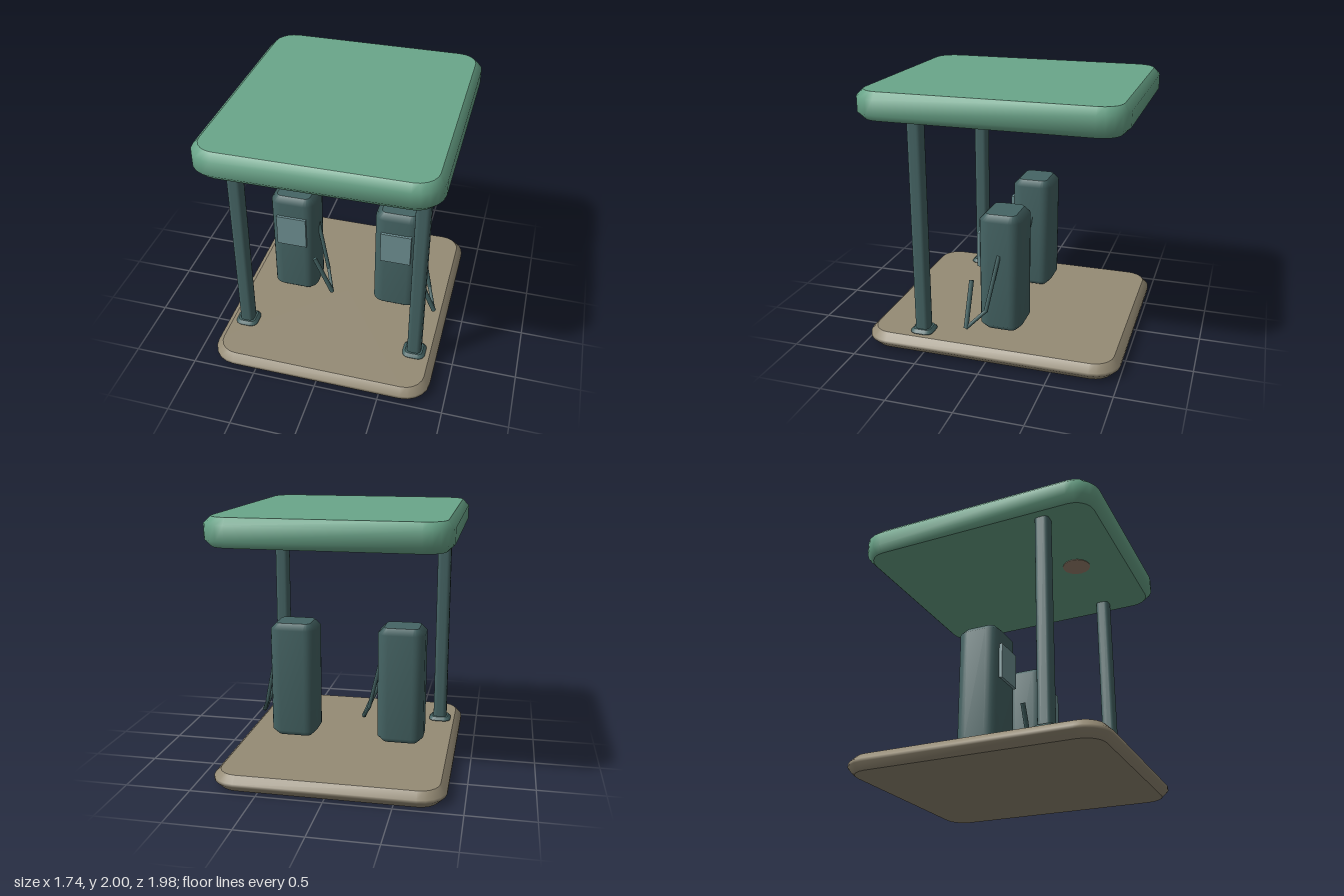
import * as THREE from 'three';

const paint = (name, color) => {
  const m = new THREE.MeshStandardMaterial({ color });
  m.name = name;
  return m;
};

// Outline of a rounded rectangle in the x/z plane, as [x, z] pairs
function outline(w, d, r, seg) {
  const pts = [];
  const signs = [[1, 1], [-1, 1], [-1, -1], [1, -1]];
  signs.forEach(([sx, sz], q) => {
    for (let i = 0; i <= seg; i++) {
      const a = (q + i / seg) * Math.PI / 2;
      pts.push([sx * (w / 2 - r) + r * Math.cos(a), sz * (d / 2 - r) + r * Math.sin(a)]);
    }
  });
  return pts;
}

// Rounded slab with chamfered rims: smooth walls, crisp flat caps
function slab(w, h, d, r, bevel, seg = 5) {
  const levels = [[0, bevel], [bevel, 0], [h - bevel, 0], [h, bevel]];
  const rings = levels.map(([, inset]) => outline(w - 2 * inset, d - 2 * inset, r - inset, seg));
  const n = rings[0].length;
  const pos = [], index = [];
  rings.forEach((ring, k) => ring.forEach(([x, z]) => pos.push(x, levels[k][0], z)));
  for (let k = 0; k < 3; k++) {
    for (let i = 0; i < n; i++) {
      const a = k * n + i, b = k * n + (i + 1) % n;
      index.push(a, a + n, b, b, a + n, b + n);
    }
  }
  // caps have their own vertices so their edges stay sharp
  for (const k of [0, 3]) {
    const c = pos.length / 3;
    pos.push(0, levels[k][0], 0);
    rings[k].forEach(([x, z]) => pos.push(x, levels[k][0], z));
    for (let i = 0; i < n; i++) {
      const a = c + 1 + i, b = c + 1 + (i + 1) % n;
      if (k) index.push(c, b, a);
      else index.push(c, a, b);
    }
  }
  const g = new THREE.BufferGeometry();
  g.setAttribute('position', new THREE.Float32BufferAttribute(pos, 3));
  g.setIndex(index);
  g.computeVertexNormals();
  return g;
}

// Round rod between two points
function rod(p, q, r) {
  const a = new THREE.Vector3(...p), b = new THREE.Vector3(...q);
  const dir = b.clone().sub(a);
  const g = new THREE.CylinderGeometry(r, r, dir.length(), 10);
  g.applyQuaternion(new THREE.Quaternion().setFromUnitVectors(
    new THREE.Vector3(0, 1, 0), dir.normalize()));
  const mid = a.add(b).multiplyScalar(0.5);
  return g.translate(mid.x, mid.y, mid.z);
}

export function createModel() {
  const model = new THREE.Group();
  model.name = 'fuelStation';

  const green = paint('canopyGreen', 0x6aa68a);
  const teal = paint('darkTeal', 0x456464);
  const glass = paint('screenBlue', 0x6f9194);
  const stone = paint('baseStone', 0x958b75);
  const lampTone = paint('lampBrown', 0x9f8872);

  const add = (parent, name, geometry, material, x = 0, y = 0, z = 0) => {
    const mesh = new THREE.Mesh(geometry, material);
    mesh.name = name;
    mesh.position.set(x, y, z);
    parent.add(mesh);
    return mesh;
  };

  // Platform and roof
  add(model, 'base', slab(1.74, 0.125, 1.98, 0.2, 0.05), stone);
  add(model, 'canopy', slab(1.74, 0.21, 1.97, 0.2, 0.05), green, 0, 1.79, 0);

  // Flat lamp under the roof, between the posts
  add(model, 'canopyLamp', new THREE.CylinderGeometry(0.11, 0.11, 0.006, 16), lampTone, 0, 1.788, 0.55);

  // Front posts with foot plates
  for (const x of [-0.7, 0.695]) {
    add(model, 'post', slab(0.11, 1.7, 0.11, 0.032, 0.002, 4), teal, x, 0.1, 0.545);
    add(model, 'postFoot', slab(0.18, 0.05, 0.18, 0.055, 0.022, 4), teal, x, 0.105, 0.545);
  }

  // Two identical pumps
  for (const x of [-0.435, 0.43]) {
    const pump = new THREE.Group();
    pump.name = 'pump';
    pump.position.x = x;
    model.add(pump);

    add(pump, 'pumpBody', slab(0.37, 0.935, 0.33, 0.09, 0.048), teal, 0, 0.15, -0.035);
    add(pump, 'screen', new THREE.BoxGeometry(0.245, 0.27, 0.03), glass, 0, 0.785, 0.135);

    // Hose hangs from the side, bends forward and meets the nozzle
    const top = [0.175, 0.78, -0.04], bend = [0.277, 0.365, 0.033];
    const low = [0.345, 0.235, 0.168], tip = [0.2, 0.565, 0.17];
    add(pump, 'hoseUpper', rod(top, bend, 0.016), teal);
    add(pump, 'hoseLower', rod(bend, low, 0.014), teal);
    add(pump, 'hoseBend', new THREE.SphereGeometry(0.016, 10, 8), teal, ...bend);
    add(pump, 'nozzle', rod(low, tip, 0.019), teal);
  }

  return model;
}
